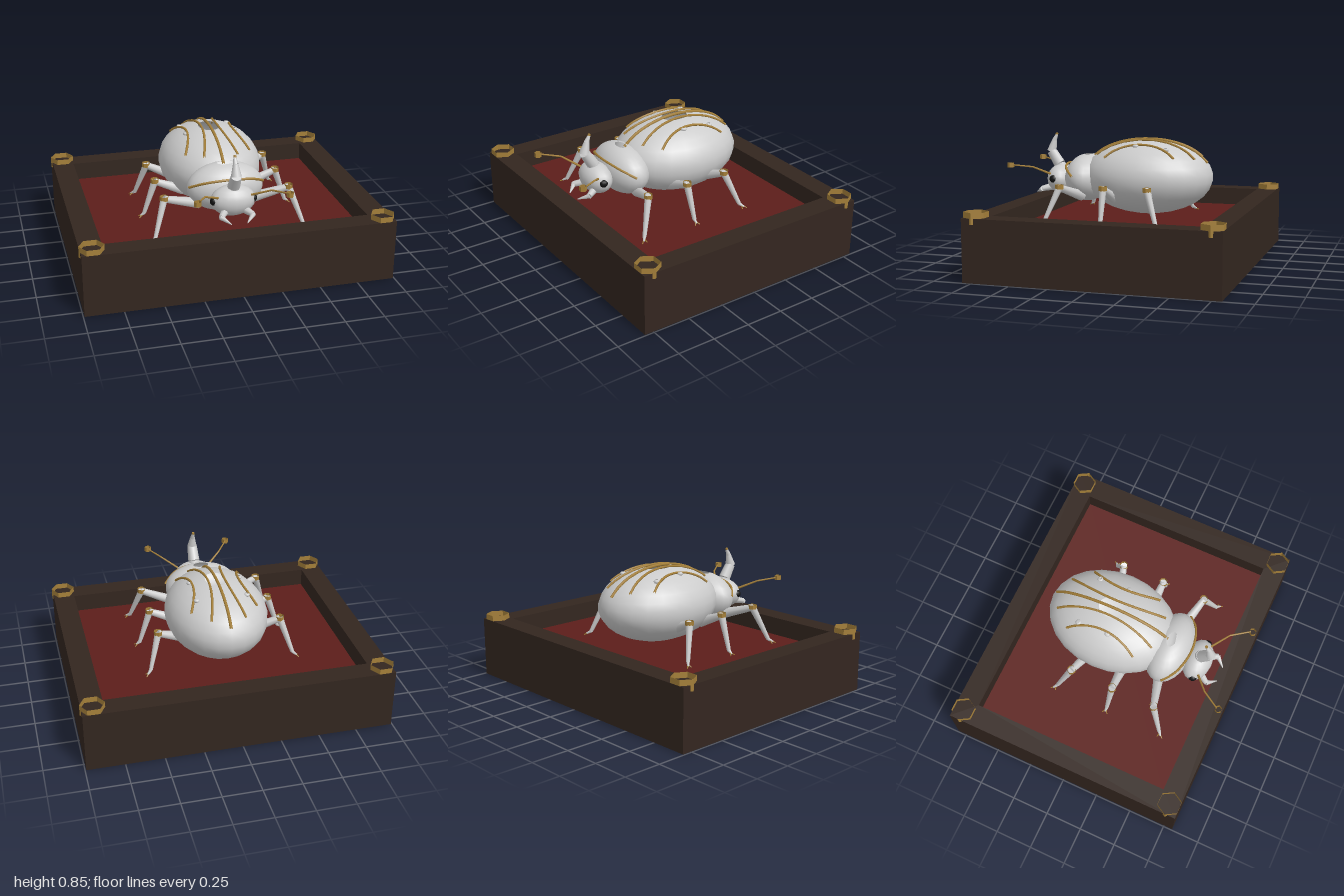
import * as THREE from 'three';

const mat = (color) => new THREE.MeshStandardMaterial({ color, side: THREE.DoubleSide });
const V = (x, y, z) => new THREE.Vector3(x, y, z);

export function createModel() {
  const model = new THREE.Group();
  const shell = mat(0xcccccc), gold = mat(0xa5803a), wood = mat(0x33261f);
  const velvet = mat(0x5c1e1a), black = mat(0x111111);

  const add = (name, geometry, material, parent = model) => {
    const mesh = new THREE.Mesh(geometry, material);
    mesh.name = name;
    parent.add(mesh);
    return mesh;
  };
  const rect = (path, a, b) => path.moveTo(-a, -b).lineTo(a, -b).lineTo(a, b).lineTo(-a, b).closePath();

  // Ellipsoid with a small opening at each pole
  const ellipsoid = (name, c, r, material, parent, w = 24, h = 13, open = 0.21) => {
    const g = new THREE.SphereGeometry(1, w, h, 0, Math.PI * 2, open, Math.PI - 2 * open);
    g.scale(...r).translate(...c);
    return add(name, g, material, parent);
  };
  // Tapered rod from a to b
  const rod = (name, a, b, ra, rb, material, parent, sides = 8) => {
    const d = b.clone().sub(a);
    const m = add(name, new THREE.CylinderGeometry(rb, ra, d.length(), sides), material, parent);
    m.position.copy(a).addScaledVector(d, 0.5);
    m.quaternion.setFromUnitVectors(V(0, 1, 0), d.normalize());
    return m;
  };
  // Short upright open ring
  const collar = (name, p, r, h, material, parent, sides = 6) => {
    const g = new THREE.CylinderGeometry(r, r, h, sides, 1, true).toNonIndexed();
    g.rotateY(Math.PI / 2);
    g.computeVertexNormals();
    const m = add(name, g, material, parent);
    m.position.copy(p);
    return m;
  };
  const tube = (name, points, r, material, parent, n = 20) =>
    add(name, new THREE.TubeGeometry(new THREE.CatmullRomCurve3(points), n, r, 6), material, parent);

  // Display tray: frame, base and lining
  const outline = rect(new THREE.Shape(), 0.992, 0.81);
  outline.holes.push(rect(new THREE.Path(), 0.85, 0.668));
  const frame = new THREE.ExtrudeGeometry(outline, { depth: 0.4, bevelEnabled: false });
  add('trayFrame', frame.rotateX(-Math.PI / 2), wood);
  add('trayBase', new THREE.BoxGeometry(1.7, 0.26, 1.336).translate(0, 0.13, 0), wood);
  add('trayLining', new THREE.BoxGeometry(1.7, 0.02, 1.336).translate(0, 0.27, 0), velvet);
  for (const x of [-1, 1]) for (const z of [-1, 1])
    collar('cornerCap', V(x * 0.922, 0.4, z * 0.741), 0.078, 0.072, gold);

  // Body
  const beetle = new THREE.Group();
  beetle.name = 'beetle';
  model.add(beetle);
  const C = [0, 0.575, -0.085], R = [0.335, 0.247, 0.44];
  ellipsoid('abdomen', C, R, shell, beetle);
  ellipsoid('thorax', [0, 0.557, 0.335], [0.25, 0.16, 0.148], shell, beetle);
  ellipsoid('head', [0, 0.54, 0.53], [0.145, 0.1, 0.095], shell, beetle, 16, 10);

  // Gilded ribs following the wing cases
  const onBack = (x, z, lift = 0.004) => V(x, C[1] + lift
    + R[1] * Math.sqrt(Math.max(0, 1 - (x / R[0]) ** 2 - ((z - C[2]) / R[2]) ** 2)), z);
  const rib = (name, xMid, xEnd, z0, z1, r) => {
    const points = [];
    for (let i = 0; i <= 12; i++) {
      const t = i / 12, s = 2 * t - 1;
      points.push(onBack(xMid + (xEnd - xMid) * s * s, z0 + (z1 - z0) * t));
    }
    tube(name, points, r, gold, beetle, 24);
  };
  rib('centreRib', 0, 0, -0.49, 0.305, 0.01);
  for (const s of [-1, 1]) {
    rib('innerRib', s * 0.055, s * 0.112, -0.43, 0.24, 0.008);
    rib('outerRib', s * 0.155, s * 0.215, -0.315, 0.155, 0.008);
    for (const z of [-0.25, -0.045])
      ellipsoid('wingStud', onBack(s * 0.165, z, 0).toArray(), [0.02, 0.014, 0.02], shell, beetle, 8, 5, 0.5);
  }
  tube('collarBand', [V(-0.245, 0.58, 0.37), V(-0.16, 0.627, 0.441), V(0, 0.65, 0.476),
    V(0.16, 0.627, 0.441), V(0.245, 0.58, 0.37)], 0.008, gold, beetle);

  // Curved horn, lofted from round sections: y, z, radius
  const sections = [[0.59, 0.53, 0.045], [0.64, 0.55, 0.04], [0.725, 0.605, 0.034],
    [0.8, 0.586, 0.017], [0.84, 0.567, 0.009]];
  for (let i = 0; i < sections.length - 1; i++) {
    const [y0, z0, r0] = sections[i], [y1, z1, r1] = sections[i + 1];
    rod('horn', V(0, y0, z0), V(0, y1, z1), r0, r1, shell, beetle, 10);
  }
  rod('hornTip', V(0, 0.837, 0.569), V(0, 0.85, 0.565), 0.01, 0.009, gold, beetle, 6);

  // Paired parts
  const legs = [ // hip, knee, foot
    ['frontLeg', V(0.17, 0.45, 0.33), V(0.41, 0.53, 0.395), V(0.485, 0.31, 0.475)],
    ['middleLeg', V(0.22, 0.45, 0.09), V(0.41, 0.53, 0.098), V(0.485, 0.31, 0.092)],
    ['rearLeg', V(0.22, 0.45, -0.15), V(0.41, 0.53, -0.195), V(0.48, 0.31, -0.275)],
  ];
  for (const s of [-1, 1]) {
    const P = (x, y, z) => V(s * x, y, z);
    const mirror = (v) => P(v.x, v.y, v.z);
    ellipsoid('eye', [s * 0.122, 0.547, 0.545], [0.03, 0.028, 0.03], black, beetle, 10, 7);

    // Mandibles
    rod('mandible', P(0.06, 0.49, 0.575), P(0.102, 0.475, 0.64), 0.026, 0.018, shell, beetle);
    rod('mandibleTip', P(0.102, 0.475, 0.635), P(0.05, 0.447, 0.695), 0.018, 0.003, shell, beetle);

    // Antennae
    const joint = P(0.21, 0.635, 0.66), end = P(0.285, 0.653, 0.775);
    rod('antennaBase', P(0.09, 0.57, 0.56), joint, 0.008, 0.006, gold, beetle, 6);
    rod('antennaStem', joint, end, 0.006, 0.005, gold, beetle, 6);
    collar('antennaClub', P(0.287, 0.652, 0.787), 0.023, 0.03, gold, beetle);

    // Legs
    for (const [name, hip, knee, foot] of legs) {
      const leg = new THREE.Group();
      leg.name = name;
      beetle.add(leg);
      const k = mirror(knee), f = mirror(foot);
      rod('femur', mirror(hip), k, 0.036, 0.022, shell, leg);
      rod('tibia', k, f, 0.024, 0.013, shell, leg);
      collar('kneeCap', k.clone().setY(0.535), 0.028, 0.028, gold, leg, 8);
      const out = Math.sign(Math.round((foot.z - knee.z) * 20));
      rod('foot', f, P(foot.x + 0.025, 0.292, foot.z + out * 0.022), 0.012, 0.006, shell, leg, 6);
      for (const side of [-1, 1])
        rod('claw', P(foot.x + 0.012, 0.3, foot.z + out * 0.01),
          P(foot.x + 0.035, 0.284, foot.z + out * 0.02 + side * 0.018), 0.006, 0.003, gold, leg, 5);
    }
  }
  return model;
}
